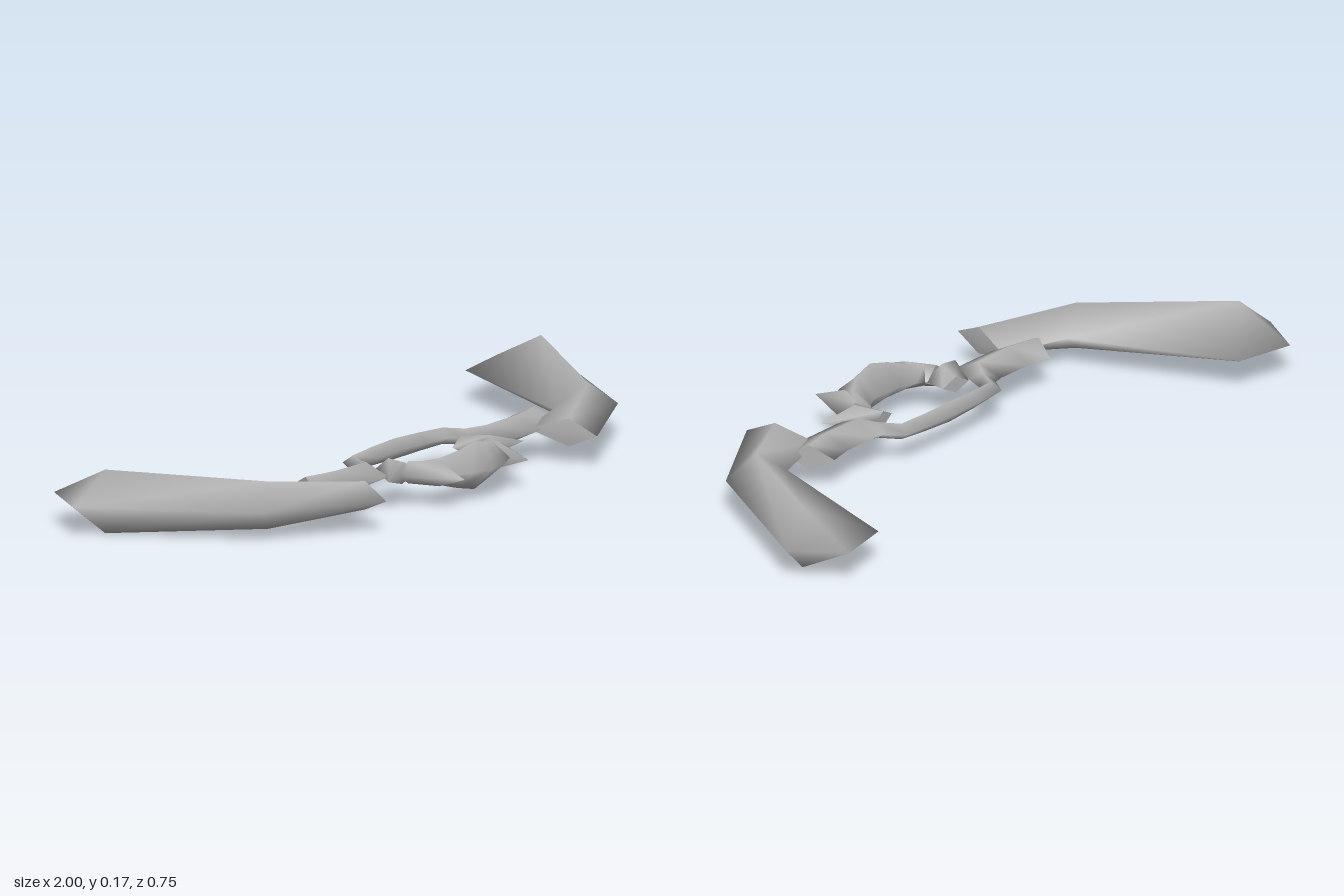
import * as THREE from 'three';

const MID = 0.087; // height of the horizontal mid-plane

const metal = new THREE.MeshStandardMaterial({ color: 0xb4b4b4, side: THREE.DoubleSide });
metal.name = 'grey metal';

// Diamond-section tube. Each ring: [ax, az, bx, bz, halfHeight, ridgeX?, ridgeZ?]
// a and b are the side corners, the ridge runs above and below between them.
// tip: optional [x, z] point closing the last ring.
function diamondTube(name, rings, tip) {
  const pos = [];
  const idx = [];
  const corners = ([ax, az, bx, bz, h, rx = (ax + bx) / 2, rz = (az + bz) / 2]) => [
    [ax, MID, az], [rx, MID + h, rz], [bx, MID, bz], [rx, MID - h, rz],
  ];
  rings.forEach((r) => corners(r).forEach((p) => pos.push(...p)));
  for (let i = 0; i < rings.length - 1; i++) {
    for (let j = 0; j < 4; j++) {
      const a = i * 4 + j, b = i * 4 + (j + 1) % 4;
      idx.push(a, b, a + 4, b, b + 4, a + 4);
    }
  }
  const last = (rings.length - 1) * 4;
  // flat cap with its own corners, so the rim stays sharp
  const cap = (ring, flip) => {
    const s = pos.length / 3;
    corners(ring).forEach((p) => pos.push(...p));
    if (flip) idx.push(s, s + 2, s + 1, s, s + 3, s + 2);
    else idx.push(s, s + 1, s + 2, s, s + 2, s + 3);
  };
  cap(rings[0], true);
  if (tip) {
    const t = pos.length / 3;
    pos.push(tip[0], MID, tip[1]);
    for (let j = 0; j < 4; j++) idx.push(last + j, last + (j + 1) % 4, t);
  } else cap(rings[rings.length - 1], false);
  const g = new THREE.BufferGeometry();
  g.setAttribute('position', new THREE.Float32BufferAttribute(pos, 3));
  g.setIndex(idx);
  g.computeVertexNormals();
  const mesh = new THREE.Mesh(g, metal);
  mesh.name = name;
  return mesh;
}

const flipRing = (r) => r.map((v, i) => (i === 0 || i === 2 || i === 5 ? -v : v));

// Complete a half chain that ends on x = 0
const bothHalves = (half) => [...half, ...half.slice(0, -1).reverse().map(flipRing)];

export function createModel() {
  const group = new THREE.Group();
  group.name = 'hornedFrame';

  // Sweeping horns, widest near the blunt tip
  const horn = [
    [0.435, 0.355, 0.385, 0.16, 0.038, 0.42, 0.272],
    [0.735, 0.18, 0.577, 0.1, 0.064, 0.66, 0.14],
    [1, -0.24, 0.745, -0.345, 0.086, 0.9, -0.215],
  ];
  // Small pointed links between the bar and the lower arc
  const upperLink = [
    [0.195, 0.12, 0.105, 0.135, 0.022],
    [0.278, 0.235, 0.115, 0.205, 0.03, 0.18, 0.2],
  ];
  const lowerLink = [
    [0.215, 0.22, 0.115, 0.195, 0.03],
    [0.132, 0.372, 0.1, 0.22, 0.034, 0.125, 0.28],
  ];
  for (const [side, s] of [['left', 1], ['right', -1]]) {
    const on = (rings) => (s > 0 ? rings : rings.map(flipRing));
    group.add(
      diamondTube(side + 'Horn', on(horn), [s * 0.91, -0.38]),
      diamondTube(side + 'UpperLink', on(upperLink)),
      diamondTube(side + 'LowerLink', on(lowerLink)),
    );
  }

  // Back bar joining the horns
  group.add(diamondTube('backBar', bothHalves([
    [0.445, 0.05, 0.5, 0.175, 0.034],
    [0.37, 0.065, 0.385, 0.2, 0.034],
    [0.26, 0.065, 0.235, 0.2, 0.032],
    [0.232, 0.06, 0.198, 0.12, 0.022],
    [0.195, 0.01, 0.175, 0.065, 0.022],
    [0.1, 0.003, 0.1, 0.055, 0.025],
    [0, 0, 0, 0.05, 0.028],
  ])));

  // Front arc, thickest in the middle
  group.add(diamondTube('frontArc', bothHalves([
    [0.185, 0.265, 0.112, 0.2, 0.03],
    [0.125, 0.315, 0.095, 0.215, 0.036],
    [0.068, 0.345, 0.055, 0.232, 0.05],
    [0, 0.357, 0, 0.235, 0.064],
  ])));

  return group;
}
